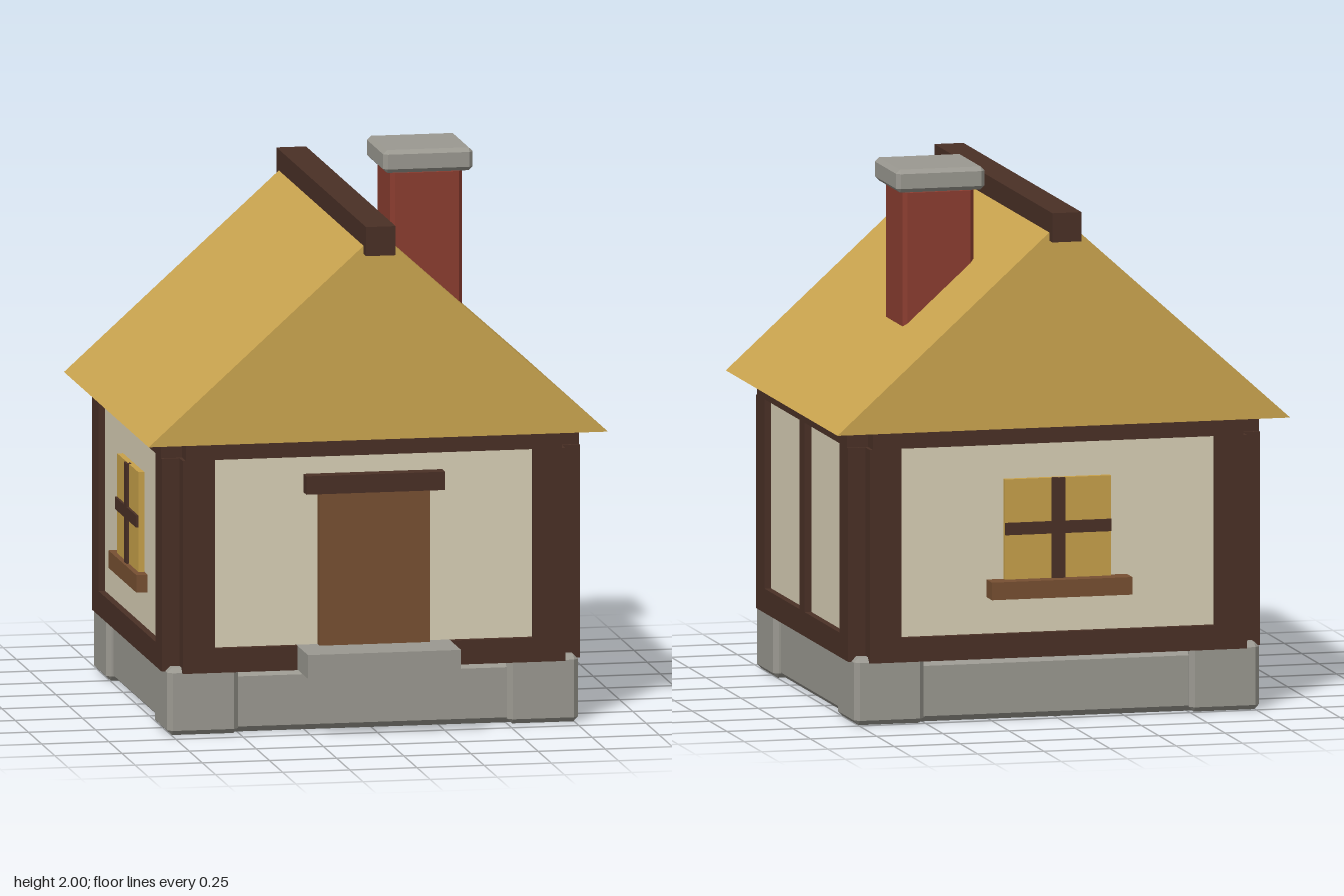
import * as THREE from 'three';
import { ConvexGeometry } from 'three/addons/geometries/ConvexGeometry.js';

const mat = (name, color) => {
  const m = new THREE.MeshStandardMaterial({ color });
  m.name = name;
  return m;
};

export function createModel() {
  const stone = mat('stone', 0x9b9991);
  const timber = mat('darkTimber', 0x4a3026);
  const plaster = mat('plaster', 0xd9d0b6);
  const thatch = mat('thatch', 0xcca650);
  const wood = mat('wood', 0x775032);
  const brick = mat('brick', 0x8b3d30);
  const glass = mat('windowGlass', 0xc8a14a);

  const house = new THREE.Group();
  house.name = 'cottage';
  const CZ = -0.035;            // middle of the house body in z
  const HX = 0.778, HZ = 0.7225; // outer half sizes of the timber frame

  const add = (parent, name, geometry, material) => {
    const mesh = new THREE.Mesh(geometry, material);
    mesh.name = name;
    parent.add(mesh);
    return mesh;
  };
  // box given by its two extremes on each axis
  const box = (parent, name, material, x0, x1, y0, y1, z0, z1) => {
    const m = add(parent, name, new THREE.BoxGeometry(x1 - x0, y1 - y0, z1 - z0), material);
    m.position.set((x0 + x1) / 2, (y0 + y1) / 2, (z0 + z1) / 2);
    return m;
  };
  // box with all edges cut off by b
  const chamferBox = (name, material, x0, x1, y0, y1, z0, z1, b) => {
    const h = [(x1 - x0) / 2, (y1 - y0) / 2, (z1 - z0) / 2];
    const points = [];
    for (const sx of [-1, 1]) for (const sy of [-1, 1]) for (const sz of [-1, 1])
      for (let full = 0; full < 3; full++) {
        const e = h.map((v, i) => (i === full ? v : v - b));
        points.push(new THREE.Vector3(sx * e[0], sy * e[1], sz * e[2]));
      }
    const m = add(house, name, new ConvexGeometry(points), material);
    m.position.set((x0 + x1) / 2, (y0 + y1) / 2, (z0 + z1) / 2);
  };

  // stone base with four corner stones
  chamferBox('foundation', stone, -0.74, 0.74, 0, 0.23, CZ - 0.688, CZ + 0.688, 0.022);
  for (const sx of [-1, 1]) for (const sz of [-1, 1]) {
    const x = sx * 0.633, z = CZ + sz * 0.58;
    chamferBox('cornerStone', stone, x - 0.132, x + 0.132, 0, 0.25, z - 0.132, z + 0.132, 0.018);
  }

  // timber core behind the wall panels
  box(house, 'wallCore', timber, -0.69, 0.69, 0.23, 1.09, CZ - 0.635, CZ + 0.635);

  // one framed wall in its own space: u along the wall, outer face at z = depth
  const wall = (name, angle, half, depth) => {
    const g = new THREE.Group();
    g.name = name;
    g.rotation.y = angle;
    g.position.z = CZ;
    house.add(g);
    const back = depth - 0.09;
    for (const s of [-1, 1]) {
      const u = s * (half - 0.06);
      box(g, 'post', timber, u - 0.06, u + 0.06, 0.23, 1.02, back, depth);
    }
    box(g, 'topBeam', timber, 0.012 - half, half - 0.012, 1.02, 1.09, back, depth);
    box(g, 'bottomBeam', timber, 0.12 - half, half - 0.12, 0.23, 0.32, back, depth);
    box(g, 'plasterPanel', plaster, 0.12 - half, half - 0.12, 0.32, 1.02, back, depth - 0.025);
    return g;
  };
  const window_ = (g, depth, sillOut) => {
    const glassOut = depth - 0.003, barOut = depth + 0.007;
    box(g, 'windowPane', glass, -0.2, 0.2, 0.52, 0.89, depth - 0.03, glassOut);
    box(g, 'windowBar', timber, -0.025, 0.025, 0.52, 0.89, glassOut - 0.01, barOut);
    box(g, 'windowBar', timber, -0.2, 0.2, 0.685, 0.73, glassOut - 0.01, barOut - 0.001);
    box(g, 'windowSill', wood, -0.265, 0.265, 0.455, 0.52, depth - 0.04, depth + sillOut);
  };

  wall('frontWall', 0, 0.712, HZ);
  window_(wall('backWall', Math.PI, 0.712, HZ), HZ, 0.055);
  const right = wall('sideWall', Math.PI / 2, 0.66, HX);
  box(right, 'middlePost', timber, -0.038, 0.038, 0.32, 1.02, HX - 0.08, HX);
  window_(wall('sideWallWithWindow', -Math.PI / 2, 0.66, HX), HX, 0.017);

  // door, lintel and doorstep
  box(house, 'door', wood, -0.205, 0.205, 0.32, 0.885, 0.64, 0.7);
  box(house, 'doorLintel', timber, -0.258, 0.258, 0.885, 0.953, 0.64, 0.718);
  box(house, 'doorstep', stone, -0.285, 0.285, 0.232, 0.32, 0.6, 0.885);

  // solid gabled roof
  const gable = new THREE.Shape();
  gable.moveTo(-0.855, 1.09);
  gable.lineTo(0.855, 1.09);
  gable.lineTo(0, 1.86);
  gable.closePath();
  const roof = add(house, 'roof',
    new THREE.ExtrudeGeometry(gable, { depth: 1.605, bevelEnabled: false }), thatch);
  roof.position.z = -0.837;
  box(house, 'ridgeBeam', timber, -0.055, 0.055, 1.78, 1.888, -0.882, 0.815);

  // chimney with stone cap
  chamferBox('chimney', brick, 0.227, 0.495, 1.4, 1.925, -0.418, -0.147, 0.015);
  chamferBox('chimneyCap', stone, 0.194, 0.528, 1.915, 2, -0.45, -0.116, 0.015);

  return house;
}
